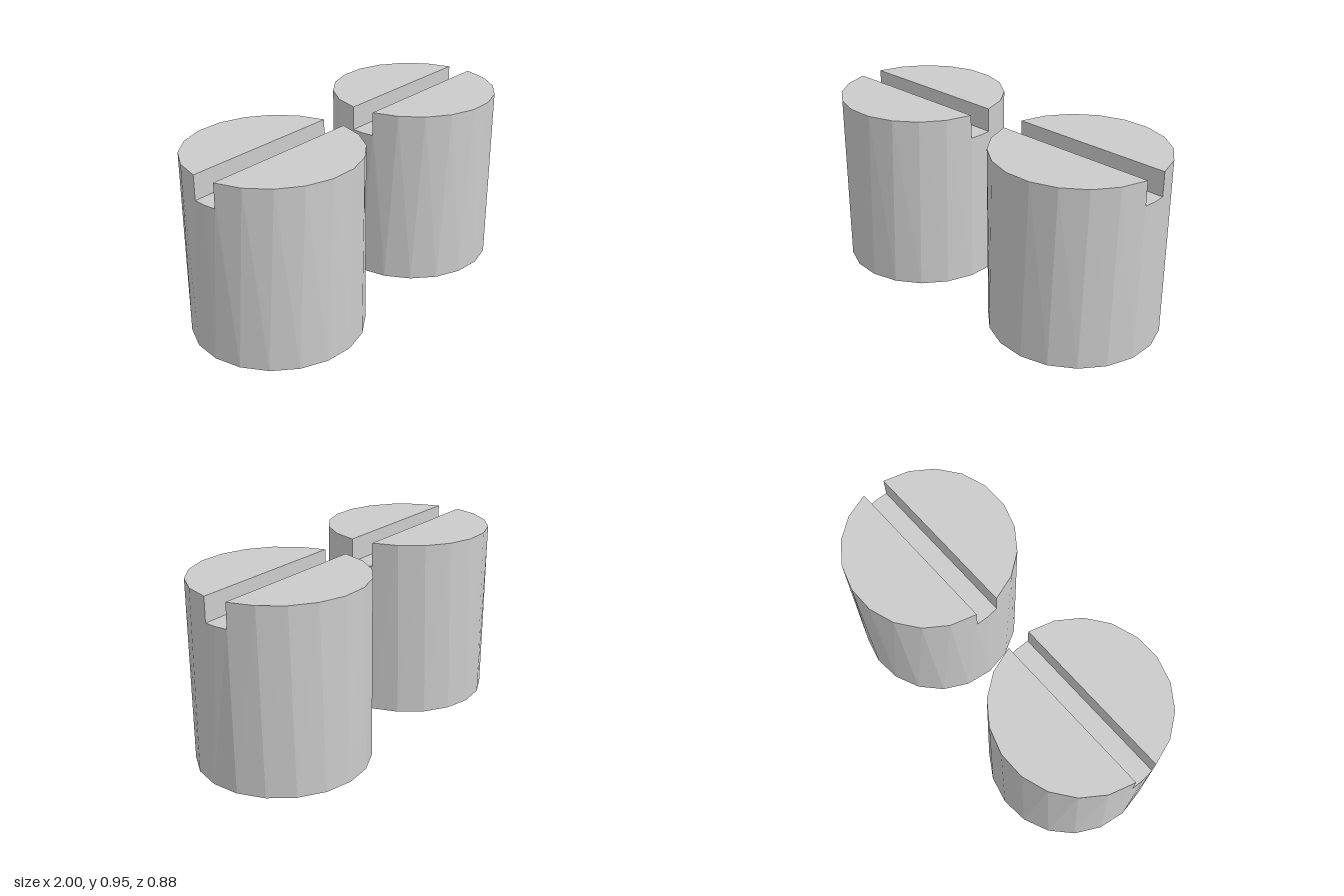
import * as THREE from 'three';

const R = 0.444, HEIGHT = 0.953, FLOOR = 0.826, SLOT = 0.064;
const BASE_SIDES = 19, ARC_SEGMENTS = 9;

// Point on the cylinder; key orders it when rings are stitched together
const rim = (angle, y, key = angle) => ({
  key, p: [R * Math.cos(angle), y, -R * Math.sin(angle)],
});

function slottedCylinder() {
  const positions = [];
  const fan = (pts) => {
    for (let i = 1; i < pts.length - 1; i++) positions.push(...pts[0].p, ...pts[i].p, ...pts[i + 1].p);
  };

  // Round base outline
  const step = (Math.PI * 2) / BASE_SIDES;
  const base = [];
  for (let i = 0; i < BASE_SIDES; i++) base.push(rim((i - 0.5) * step, 0));

  // Upper outline: per half, a slot end at floor level, then an arc at full height
  const s = Math.asin(SLOT / R);
  const ends = [], arcs = [];
  for (const turn of [0, Math.PI]) {
    ends.push([-s, 0, s].map((a) => rim(turn + a, FLOOR)));
    const arc = [];
    for (let i = 0; i <= ARC_SEGMENTS; i++) {
      const a = turn + s + ((Math.PI - 2 * s) * i) / ARC_SEGMENTS;
      arc.push(rim(a, HEIGHT, i === 0 ? a + 0.2 : a));
    }
    arcs.push(arc);
  }
  const upper = [...ends[0], ...arcs[0], ...ends[1], ...arcs[1]];

  // Side wall stitched between the two outlines
  const close = (ring) => [...ring, { p: ring[0].p, key: ring[0].key + Math.PI * 2 }];
  const b = close(base), t = close(upper);
  let i = 0, j = 0;
  while (i < b.length - 1 || j < t.length - 1) {
    const alongBase = j === t.length - 1 || (i < b.length - 1 && b[i + 1].key <= t[j + 1].key);
    if (alongBase) {
      fan([b[i], b[i + 1], t[j]]);
      i++;
    } else {
      fan([b[i], t[j + 1], t[j]]);
      j++;
    }
  }

  // Base, slot floor, the two top faces and the slot walls
  fan([...base].reverse());
  fan([...ends[0], ...ends[1]]);
  arcs.forEach((arc, k) => {
    fan(arc);
    fan([ends[1 - k][0], ends[k][2], arc[0], arc[ARC_SEGMENTS]]);
  });

  const geometry = new THREE.BufferGeometry();
  geometry.setAttribute('position', new THREE.Float32BufferAttribute(positions, 3));
  geometry.computeVertexNormals();
  return geometry;
}

export function createModel() {
  const group = new THREE.Group();
  group.name = 'slottedPegs';
  const material = new THREE.MeshStandardMaterial({ color: 0xcccccc, flatShading: true });
  const geometry = slottedCylinder();
  for (const [name, side] of [['leftPeg', 1], ['rightPeg', -1]]) {
    const peg = new THREE.Mesh(geometry, material);
    peg.name = name;
    peg.position.x = side * (1 - R);
    group.add(peg);
  }
  return group;
}
